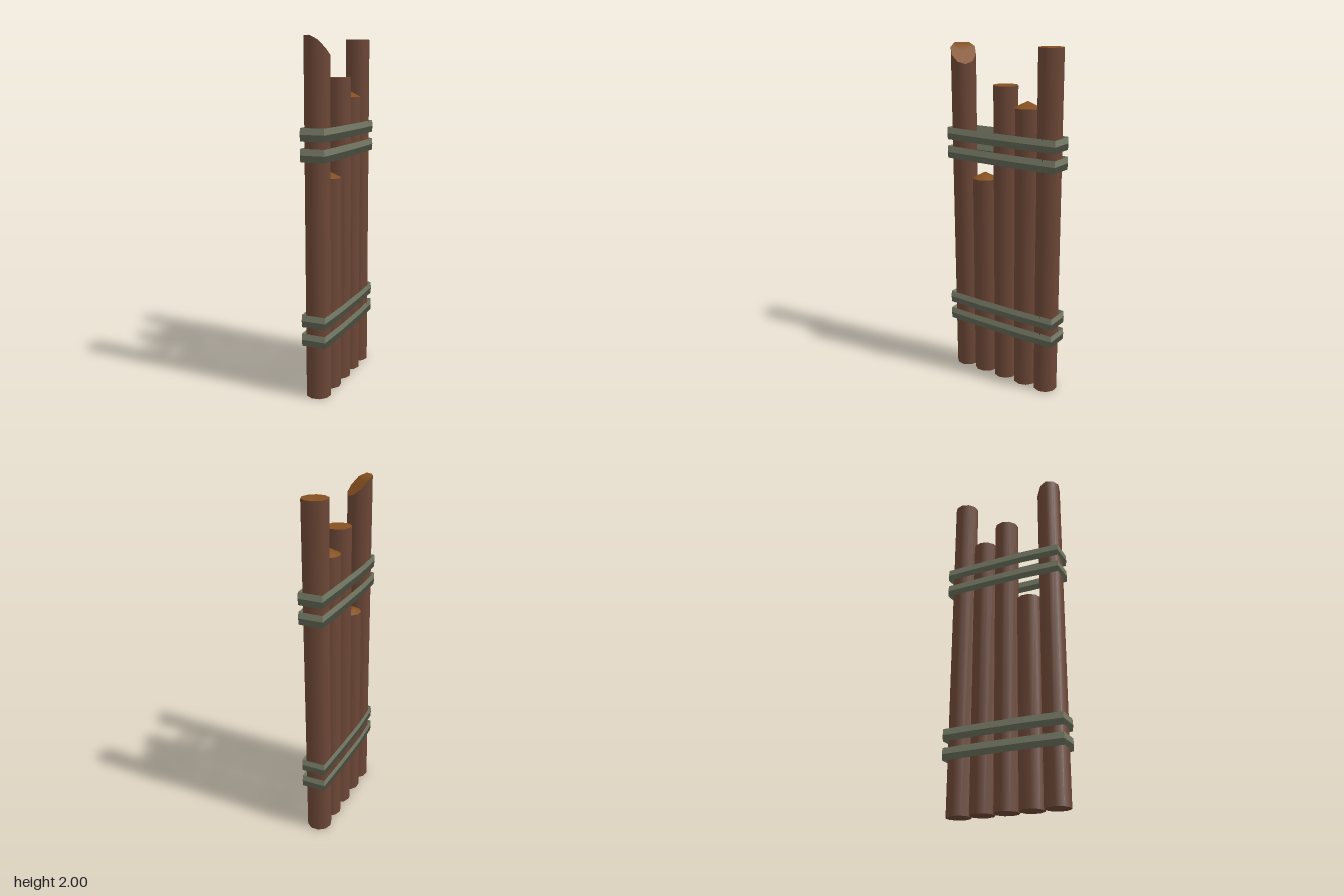
import * as THREE from 'three';

const R = 0.072;

// Ten-sided log; topRule(x, z) gives the height offset of the sawn end
function logGeometry(height, turn, topRule, topNormal) {
  const g = new THREE.CylinderGeometry(R, R, height, 10, 1, false, turn);
  g.translate(0, height / 2, 0);
  const p = g.attributes.position, n = g.attributes.normal;
  for (let i = 0; i < p.count; i++) {
    if (p.getY(i) < height - 1e-4) continue;
    const x = p.getX(i), z = p.getZ(i);
    p.setY(i, height + topRule(x, z));
    if (n.getY(i) > 0.5) {
      const v = topNormal(x, z).normalize();
      n.setXYZ(i, v.x, v.y, v.z);
    }
  }
  return g;
}

// Thin strap following a closed loop, with a ridge along its middle
function strapGeometry(path, halfHeight, bulge) {
  const pos = [], nor = [];
  const quad = (a, b, c, d, n) => {
    for (const v of [a, b, c, a, c, d]) {
      pos.push(v.x, v.y, v.z);
      nor.push(n.x, n.y, n.z);
    }
  };
  const at = ([x, z], k, y) => new THREE.Vector3(x * (1 + k / 0.08), y, z * (1 + k / 0.365));
  path.forEach((a, i) => {
    const b = path[(i + 1) % path.length];
    const out = new THREE.Vector3(-(b[1] - a[1]), 0, b[0] - a[0]).normalize();
    if (out.x * (a[0] + b[0]) + out.z * (a[1] + b[1]) < 0) out.negate();
    for (const side of [1, -1]) {
      for (const half of [1, -1]) {
        const n = out.clone().multiplyScalar(side).setY(half * 0.75).normalize();
        const lo = half > 0 ? 0 : -halfHeight, hi = half > 0 ? halfHeight : 0;
        const kLo = half > 0 ? side * bulge : 0, kHi = half > 0 ? 0 : side * bulge;
        const c = [at(a, kLo, lo), at(b, kLo, lo), at(b, kHi, hi), at(a, kHi, hi)];
        if (side < 0) c.reverse();
        quad(...c, n);
      }
    }
  });
  const g = new THREE.BufferGeometry();
  g.setAttribute('position', new THREE.Float32BufferAttribute(pos, 3));
  g.setAttribute('normal', new THREE.Float32BufferAttribute(nor, 3));
  return g;
}

export function createModel() {
  const model = new THREE.Group();
  const bark = new THREE.MeshStandardMaterial({ name: 'bark brown', color: 0x6b4636 });
  const cut = new THREE.MeshStandardMaterial({ name: 'cut wood', color: 0x85501f });
  const rope = new THREE.MeshStandardMaterial({ name: 'grey green strap', color: 0x676b58 });

  // Shapes of the sawn ends
  const flat = [() => 0, () => new THREE.Vector3(0, 1, 0)];
  const cone = [
    (x, z) => (Math.hypot(x, z) < 0.01 ? 0.037 : 0),
    (x, z) => new THREE.Vector3(x / R * 0.5, 1, z / R * 0.5),
  ];
  const slant = [
    (x, z) => Math.min(0, -0.95 * ((x - z) * Math.SQRT1_2 + 0.045)),
    (x, z) => (x - z < -0.06 ? new THREE.Vector3(0, 1, 0) : new THREE.Vector3(0.67, 1, -0.67)),
  ];

  // Row of upright logs, from front to back
  const logs = [
    ['frontLog', 0.29, 2, -0.14, slant],
    ['shortLog', 0.145, 1.238, 0, cone],
    ['middleLog', 0, 1.785, Math.PI / 10, flat],
    ['pointedLog', -0.145, 1.673, Math.PI / 10, cone],
    ['backLog', -0.288, 2, Math.PI / 10, flat],
  ];
  for (const [name, z, height, turn, top] of logs) {
    const mesh = new THREE.Mesh(logGeometry(height, turn, ...top), [bark, cut, bark]);
    mesh.name = name;
    mesh.position.z = z;
    model.add(mesh);
  }

  // Two pairs of straps round the row
  const path = [
    [-0.068, 0.361], [0.071, 0.361], [0.078, 0.14], [0.077, -0.14],
    [0.068, -0.364], [-0.07, -0.364], [-0.076, -0.14], [-0.079, 0.14],
  ];
  const strap = strapGeometry(path, 0.036, 0.002);
  [0.345, 0.455, 1.38, 1.49].forEach((y, i) => {
    const mesh = new THREE.Mesh(strap, rope);
    mesh.name = (i < 2 ? 'lowerStrap' : 'upperStrap') + (i % 2 + 1);
    mesh.position.y = y;
    model.add(mesh);
  });
  return model;
}
